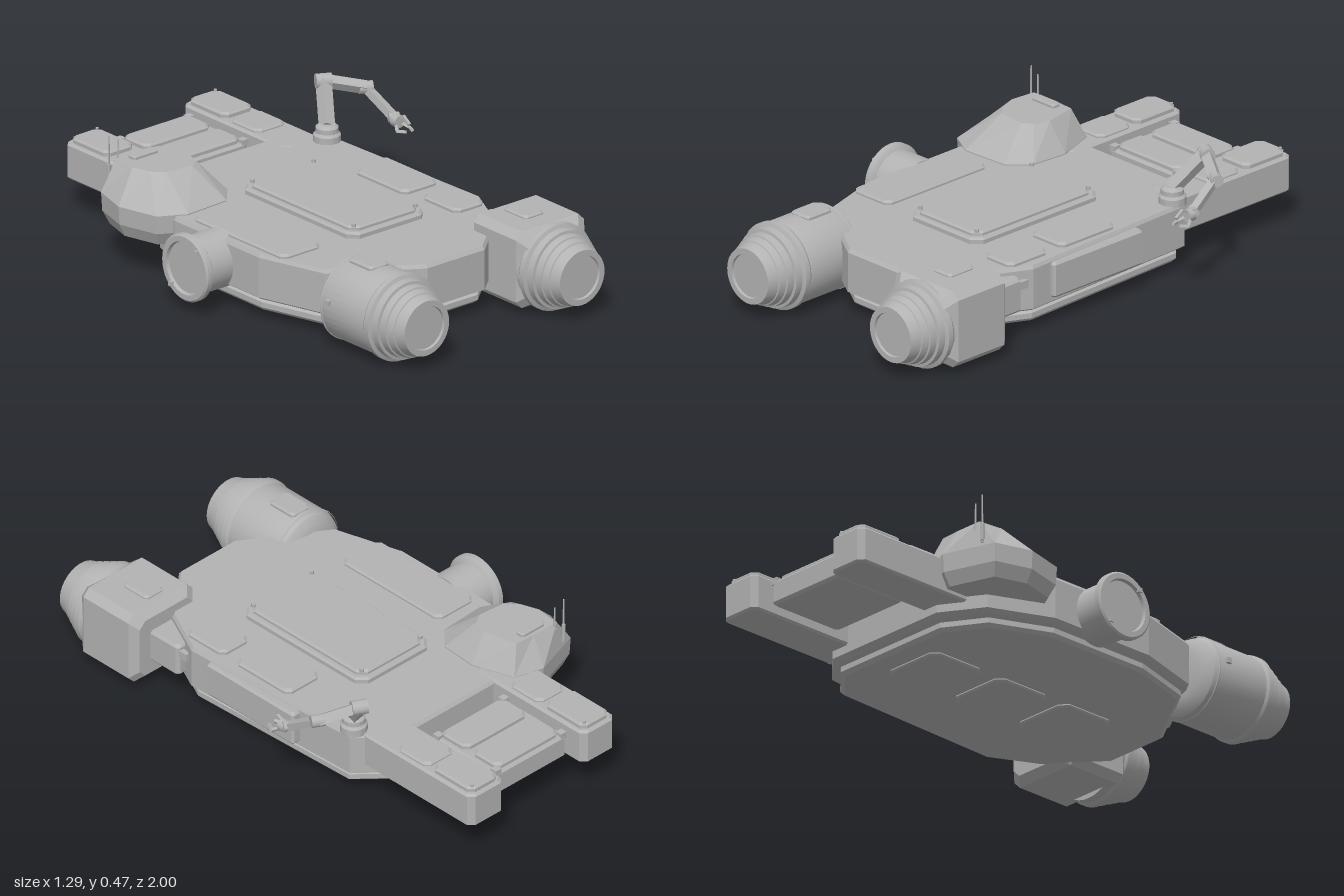
import * as THREE from 'three';
import { toCreasedNormals } from 'three/addons/utils/BufferGeometryUtils.js';

const hullGrey = new THREE.MeshStandardMaterial({ color: 0xb3b3b3 });

function add(parent, name, geometry) {
  const mesh = new THREE.Mesh(geometry, hullGrey);
  mesh.name = name;
  parent.add(mesh);
  return mesh;
}

// Flat-faced solid through rings of [x, y, z], bottom to top; each ring runs from +x towards +z
function loft(rings) {
  const pos = [];
  const tri = (a, b, c) => pos.push(...a, ...b, ...c);
  const n = rings[0].length, top = rings[rings.length - 1];
  for (let r = 0; r < rings.length - 1; r++) {
    for (let i = 0; i < n; i++) {
      const j = (i + 1) % n, lo = rings[r], hi = rings[r + 1];
      tri(lo[i], hi[i], lo[j]);
      tri(lo[j], hi[i], hi[j]);
    }
  }
  for (let i = 1; i < n - 1; i++) {
    tri(rings[0][0], rings[0][i], rings[0][i + 1]);
    tri(top[0], top[i + 1], top[i]);
  }
  const g = new THREE.BufferGeometry();
  g.setAttribute('position', new THREE.Float32BufferAttribute(pos, 3));
  g.computeVertexNormals();
  return g;
}

// Rectangle with cut corners, drawn in by an inset
function rectRing(x0, x1, z0, z1, y, cut, inset = 0) {
  const a = x0 + inset, b = x1 - inset, c = z0 + inset, d = z1 - inset;
  return [[b, c + cut], [b, d - cut], [b - cut, d], [a + cut, d], [a, d - cut], [a, c + cut], [a + cut, c], [b - cut, c]]
    .map(([x, z]) => [x, y, z]);
}

// Cut-corner block; levels are [y, inset]
const block = (x0, x1, z0, z1, cut, levels) => loft(levels.map(([y, inset]) => rectRing(x0, x1, z0, z1, y, cut, inset)));

// Raised plate with a bevelled upper edge
const plate = (x0, x1, z0, z1, y0, y1, cut = 0.02, bevel = 0.007) =>
  block(x0, x1, z0, z1, cut, [[y0, 0], [y1 - bevel, 0], [y1, bevel]]);

const lathe = (profile) =>
  toCreasedNormals(new THREE.LatheGeometry(profile.map(([r, y]) => new THREE.Vector2(r, y)), 40), 0.4);

// Box or cylinder running between two points
function between(geometryFor, a, b) {
  const dir = new THREE.Vector3().subVectors(b, a);
  const g = geometryFor(dir.length());
  g.applyQuaternion(new THREE.Quaternion().setFromUnitVectors(new THREE.Vector3(0, 1, 0), dir.clone().normalize()));
  return g.translate((a.x + b.x) / 2, (a.y + b.y) / 2, (a.z + b.z) / 2);
}

function buildHull(root) {
  const hull = new THREE.Group();
  hull.name = 'hull';
  root.add(hull);
  const outline = [[0.43, -0.42], [0.46, 0.36], [0.365, 0.555], [0.16, 0.73], [-0.11, 0.73],
    [-0.42, 0.53], [-0.5, 0.26], [-0.5, -0.2], [-0.4, -0.44], [-0.24, -0.54], [0.3, -0.54]];
  const levels = [[0.04, 0.93], [0.053, 0.955], [0.073, 0.955], [0.08, 0.93], [0.088, 0.965], [0.1, 1], [0.253, 1], [0.266, 0.985]];
  add(hull, 'hullBody', loft(levels.map(([y, s]) => outline.map(([x, z]) => [x * s, y, 0.08 + (z - 0.08) * s]))));

  // Deck panels
  add(hull, 'mainDeckBase', plate(-0.165, 0.195, -0.24, 0.385, 0.26, 0.288, 0.035));
  add(hull, 'mainDeckCover', plate(-0.145, 0.175, -0.22, 0.365, 0.28, 0.304, 0.03));
  add(hull, 'rightDeckPanel', plate(-0.47, -0.285, -0.14, 0.36, 0.26, 0.28));
  add(hull, 'leftDeckPanel', plate(0.255, 0.42, -0.095, 0.18, 0.26, 0.282));
  add(hull, 'leftFrontDeckPanel', plate(0.28, 0.42, 0.24, 0.435, 0.26, 0.282));
  for (const x of [-0.13, 0.16]) {
    for (const z of [-0.205, 0.35]) {
      add(hull, 'deckStud', new THREE.CylinderGeometry(0.008, 0.008, 0.012, 10).translate(x, 0.308, z));
    }
  }
  // Side panel and equipment box
  add(hull, 'sidePanel', block(0.4, 0.475, -0.175, 0.27, 0.008, [[0.115, 0.008], [0.125, 0], [0.243, 0], [0.252, 0.008]]));
  add(hull, 'equipmentBox', block(0.33, 0.468, 0.42, 0.59, 0.012, [[0.11, 0.008], [0.12, 0], [0.23, 0], [0.24, 0.008]]));
  add(hull, 'equipmentHandle', new THREE.BoxGeometry(0.02, 0.03, 0.05).translate(0.45, 0.205, 0.41));
  // Belly hatches
  for (const z of [-0.29, 0.03, 0.345]) {
    add(hull, 'bellyHatch', block(-0.1, 0.16, z - 0.125, z + 0.125, 0.03, [[0.03, 0.007], [0.036, 0], [0.05, 0]]));
  }
}

function buildEngines(root) {
  const nozzle = [[0.157, 0.835], [0.164, 0.845], [0.164, 0.866], [0.15, 0.872], [0.148, 0.9], [0.137, 0.902],
    [0.134, 0.93], [0.128, 0.932], [0.121, 0.958], [0.116, 0.96], [0.105, 1], [0.083, 1], [0.081, 0.99], [0, 0.99]];
  const tank = [[0, 0.56], [0.09, 0.56], [0.125, 0.57], [0.148, 0.588], [0.158, 0.612], [0.158, 0.83]];

  const right = new THREE.Group();
  right.name = 'rightEngine';
  add(right, 'roundEngine', lathe([...tank, ...nozzle]).rotateX(Math.PI / 2).translate(-0.345, 0.168, 0));
  add(right, 'engineBand', lathe([[0.158, 0.6], [0.161, 0.602], [0.161, 0.608], [0.158, 0.61]]).rotateX(Math.PI / 2).translate(-0.345, 0.168, 0));
  add(right, 'engineHatch', plate(-0.39, -0.3, 0.62, 0.745, 0.3, 0.335, 0.01));
  add(right, 'enginePort', new THREE.BoxGeometry(0.02, 0.02, 0.02).translate(-0.503, 0.2, 0.645));

  const left = new THREE.Group();
  left.name = 'leftEngine';
  const casing = block(0.23, 0.55, -0.325, -0.03, 0.028, [[0.56, 0.028], [0.59, 0], [0.82, 0], [0.865, 0.035]]);
  add(left, 'boxEngine', casing.rotateX(Math.PI / 2));
  add(left, 'engineNozzle', lathe([[0, 0.8], [0.157, 0.8], ...nozzle]).rotateX(Math.PI / 2).translate(0.387, 0.168, 0));
  add(left, 'engineHatch', plate(0.34, 0.43, 0.62, 0.745, 0.31, 0.337, 0.01));
  root.add(right, left);
}

function buildDock(root) {
  const dock = new THREE.Group();
  dock.name = 'dockingPort';
  const profile = [[0, 0], [0.108, 0], [0.108, 0.13], [0.12, 0.136], [0.127, 0.142], [0.127, 0.162], [0.12, 0.168], [0.1, 0.168], [0.096, 0.155], [0, 0.155]];
  add(dock, 'dockTube', lathe(profile).rotateZ(Math.PI / 2).translate(-0.47, 0.172, 0.012));
  for (const s of [-1, 1]) {
    add(dock, 'dockLatch', new THREE.BoxGeometry(0.012, 0.018, 0.018).translate(-0.639, 0.172 + s * 0.08, 0.012 + s * 0.07));
  }
  root.add(dock);
}

function buildTurret(root) {
  const turret = new THREE.Group();
  turret.name = 'bridge';
  const base = [[-0.18, -0.42], [-0.19, -0.27], [-0.26, -0.195], [-0.45, -0.185], [-0.55, -0.24], [-0.592, -0.4], [-0.55, -0.545], [-0.35, -0.612], [-0.235, -0.58]];
  const top = [[-0.25, -0.41], [-0.27, -0.35], [-0.31, -0.325], [-0.42, -0.335], [-0.46, -0.38], [-0.485, -0.45], [-0.475, -0.55], [-0.36, -0.55], [-0.28, -0.545]];
  const ring = (pts, y, s) => pts.map(([x, z]) => [-0.385 + (x + 0.385) * s, y, -0.4 + (z + 0.4) * s]);
  add(turret, 'bridgeBody', loft([ring(base, 0.15, 0.86), ring(base, 0.2, 0.98), ring(base, 0.27, 1), ring(top, 0.377, 1)]));
  add(turret, 'bridgeHatch', plate(-0.435, -0.32, -0.535, -0.495, 0.37, 0.39, 0.008, 0.004));
  for (const [x, z, y] of [[-0.5, -0.56, 0.47], [-0.46, -0.555, 0.45]]) {
    add(turret, 'antenna', new THREE.CylinderGeometry(0.003, 0.004, y - 0.28, 8).translate(x, (y + 0.28) / 2, z));
    add(turret, 'antennaFoot', new THREE.CylinderGeometry(0.007, 0.007, 0.07, 8).translate(x, 0.325, z));
  }
  root.add(turret);
}

function buildBooms(root) {
  const booms = new THREE.Group();
  booms.name = 'cargoBooms';
  for (const [x0, x1] of [[-0.335, -0.17], [0.22, 0.39]]) {
    add(booms, 'boom', block(x0, x1, -1, -0.43, 0.022, [[0.13, 0.008], [0.138, 0], [0.26, 0], [0.268, 0.008]]));
    add(booms, 'boomRearPlate', plate(x0 + 0.015, x1 - 0.015, -0.985, -0.78, 0.26, 0.288));
    add(booms, 'boomFrontPlate', plate(x0 + 0.015, x1 - 0.015, -0.76, -0.6, 0.26, 0.28));
    add(booms, 'boomStud', new THREE.CylinderGeometry(0.006, 0.006, 0.02, 8).translate((x0 + x1) / 2 + 0.05, 0.285, -0.97));
  }
  // Cargo module held between the booms
  add(booms, 'cargoModule', block(-0.15, 0.2, -0.935, -0.61, 0.012, [[0.15, 0.01], [0.16, 0], [0.235, 0], [0.243, 0.008]]));
  add(booms, 'cargoRearPlate', plate(-0.13, 0.18, -0.92, -0.785, 0.235, 0.262));
  add(booms, 'cargoFrontPlate', plate(-0.13, 0.18, -0.76, -0.625, 0.235, 0.262));
  for (const x of [-0.137, 0.187]) {
    for (const z of [-0.92, -0.625]) add(booms, 'cargoCorner', new THREE.BoxGeometry(0.028, 0.025, 0.028).translate(x, 0.243, z));
  }
  root.add(booms);
}

function buildArm(root) {
  const arm = new THREE.Group();
  arm.name = 'robotArm';
  add(arm, 'armBase', lathe([[0, 0.26], [0.05, 0.26], [0.05, 0.29], [0.042, 0.3], [0.042, 0.318], [0.03, 0.33], [0, 0.33]]).translate(0.39, 0, -0.4));
  const p = [[0.39, 0.32, -0.4], [0.46, 0.445, -0.5], [0.59, 0.41, -0.42], [0.61, 0.33, -0.29]].map((v) => new THREE.Vector3(...v));
  const widths = [0.042, 0.036, 0.028];
  for (let i = 0; i < 3; i++) {
    const w = widths[i];
    add(arm, 'armSegment', between((l) => new THREE.BoxGeometry(w, l, w), p[i], p[i + 1]));
    add(arm, 'armJoint', new THREE.CylinderGeometry(w * 0.65, w * 0.65, w * 1.4, 16).rotateZ(Math.PI / 2).rotateY(-0.5).translate(...p[i + 1]));
  }
  // Three-fingered claw
  add(arm, 'wrist', new THREE.CylinderGeometry(0.024, 0.024, 0.03, 12).rotateX(Math.PI / 2).translate(0.61, 0.322, -0.27));
  for (let k = 0; k < 3; k++) {
    const a = Math.PI / 2 + k * Math.PI * 2 / 3;
    const at = (r, y, z) => new THREE.Vector3(0.61 + r * Math.cos(a), y + r * Math.sin(a), z);
    const finger = (l) => new THREE.BoxGeometry(0.011, l, 0.011);
    add(arm, 'clawFinger', between(finger, at(0.014, 0.32, -0.262), at(0.034, 0.315, -0.235)));
    add(arm, 'clawTip', between(finger, at(0.034, 0.315, -0.238), at(0.016, 0.31, -0.205)));
  }
  root.add(arm);
}

export function createModel() {
  const root = new THREE.Group();
  root.name = 'cargoShip';
  for (const build of [buildHull, buildEngines, buildDock, buildTurret, buildBooms, buildArm]) build(root);
  return root;
}
